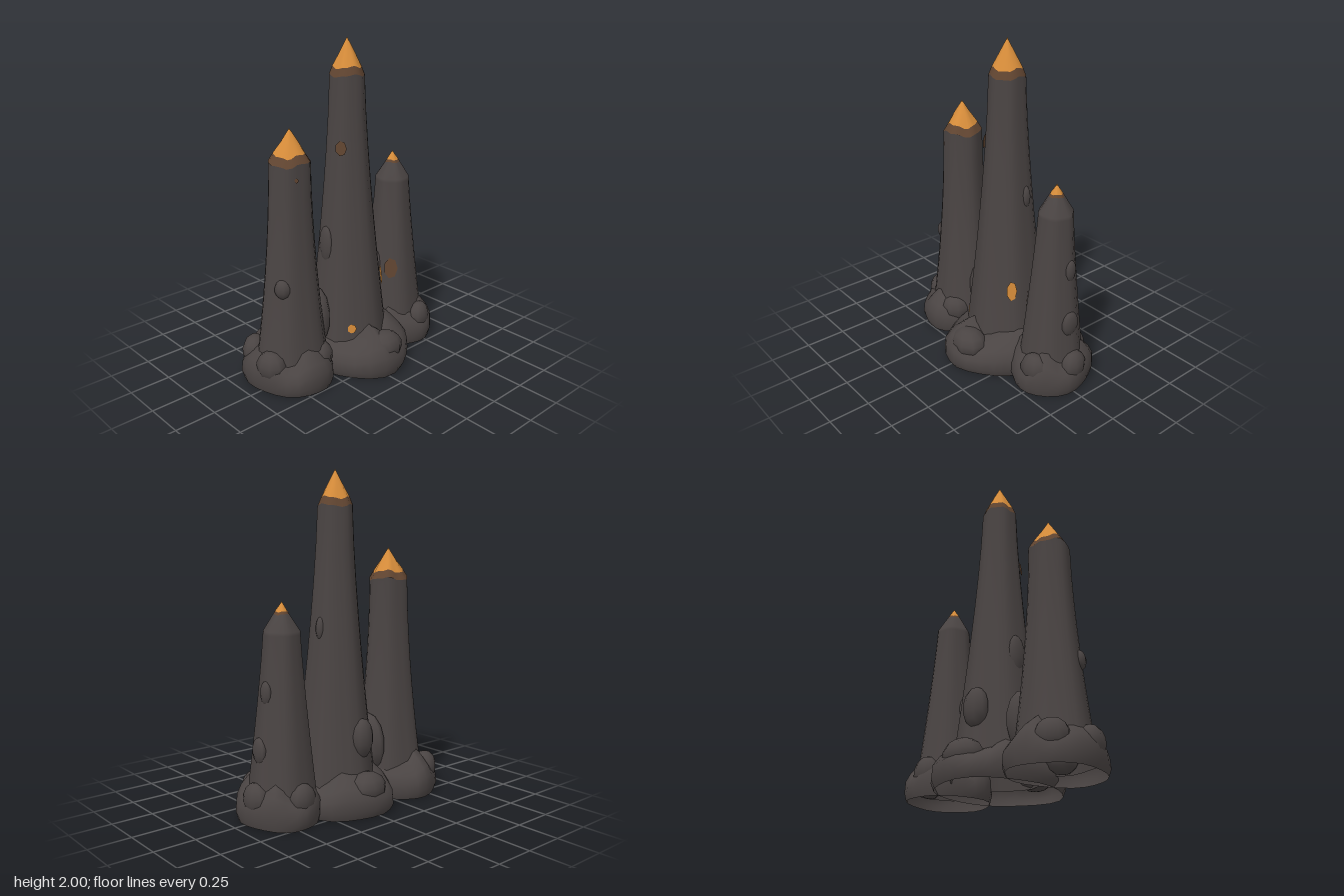
import * as THREE from 'three';

function flat(name, color) {
  const m = new THREE.MeshStandardMaterial({ color, side: THREE.DoubleSide });
  m.name = name;
  return m;
}
const stone = flat('dark stone', 0x4a4443);
const ember = flat('amber', 0xd68c3a);
const scorch = flat('scorched brown', 0x604430);

const SEG = 24, FOOT_Y = 0.06;
const { lerp } = THREE.MathUtils;

// Uneven outlines of the shafts and of the feet
const shaftShape = (a, seed) => 1 + 0.035 * Math.cos(6 * a + seed) + 0.025 * Math.sin(2 * a + seed * 2);
const footShape = (a, seed) => 1 + 0.025 * Math.sin(3 * a + seed) + 0.02 * Math.sin(5 * a + seed * 2);
const footLift = (a, seed) => 0.93 + 0.14 * Math.sin(4 * a + seed) + 0.07 * Math.sin(7 * a);

// Skin through rings { y, x, z, rx, rz, wave }
function loft(rings, seed, shape = shaftShape, lift = () => 1) {
  const pos = [], index = [];
  rings.forEach(({ y, x, z, rx, rz, wave = 0 }, r) => {
    for (let i = 0; i < SEG; i++) {
      const a = (i / SEG) * Math.PI * 2, k = shape(a, seed);
      const dy = wave * (Math.sin(3 * a + seed) + 0.5 * Math.sin(7 * a));
      pos.push(x + Math.cos(a) * rx * k, y * lift(a, seed) + dy, z + Math.sin(a) * rz * k);
      if (r === rings.length - 1) continue;
      const p = r * SEG + i, q = r * SEG + (i + 1) % SEG;
      index.push(p, p + SEG, q, q, p + SEG, q + SEG);
    }
  });
  const g = new THREE.BufferGeometry();
  g.setAttribute('position', new THREE.Float32BufferAttribute(pos, 3));
  g.setIndex(index);
  g.computeVertexNormals();
  return g;
}

function add(parent, name, geometry, material) {
  const m = new THREE.Mesh(geometry, material);
  m.name = name;
  parent.add(m);
  return m;
}

// Ring of a spire at height y: flared shaft below the shoulder, cone above it
function ringAt(s, y, wave = 0) {
  const t = Math.min(1, (y - FOOT_Y) / (s.shoulder - FOOT_Y));
  const r = y <= s.shoulder
    ? s.topR + (s.footR - s.topR) * (1 - t) ** s.flare
    : s.topR * (s.height - y) / (s.height - s.shoulder);
  const u = y / s.height;
  return { y, x: lerp(s.x, s.tipX, u), z: lerp(s.z, s.tipZ, u), rx: r, rz: r * 1.03, wave };
}

// Point on the shaft surface
function surfacePoint(s, y, angle, out) {
  const { x, z, rx, rz } = ringAt(s, y), k = shaftShape(angle, s.seed);
  return new THREE.Vector3(x + Math.cos(angle) * (rx * k + out), y, z + Math.sin(angle) * (rz * k + out));
}

// Thin painted spot lying on the side of a shaft
function spot(parent, s, y, angle, w, h, material) {
  const m = add(parent, 'glowSpot', new THREE.CircleGeometry(1, 7), material);
  m.position.copy(surfacePoint(s, y, angle, 0.007));
  m.lookAt(m.position.x + Math.cos(angle), y + 0.08, m.position.z + Math.sin(angle));
  m.scale.set(w, h, 1);
}

// Rounded lump of rock; depth is measured along the outward angle
function lump(parent, name, position, angle, depth, height, width) {
  const m = add(parent, name, new THREE.SphereGeometry(1, 9, 7), stone);
  m.position.copy(position);
  m.scale.set(depth, height, width);
  m.rotation.y = -angle;
}
const knob = (parent, s, y, angle, depth, height, width) =>
  lump(parent, 'shaftKnob', surfacePoint(s, y, angle, -0.01), angle, depth, height, width);

// Shaft, scorched band, glowing point and hollow lumpy foot
function buildSpire(s) {
  const g = new THREE.Group();
  g.name = s.name;
  const shaft = Array.from({ length: 9 }, (_, i) => ringAt(s, lerp(FOOT_Y, s.shoulder - 0.02, i / 8)));
  const band = ringAt(s, s.bandY, s.wave), edge = ringAt(s, s.edgeY, s.wave);
  if (s.bandY > s.shoulder) shaft.push(ringAt(s, s.shoulder));
  const tip = [0.5, 0.88, 1].map(t => ringAt(s, lerp(s.edgeY, s.height, t)));
  add(g, 'shaft', loft([...shaft, band], s.seed), stone);
  add(g, 'scorchedBand', loft([band, edge], s.seed), scorch);
  add(g, 'glowingTip', loft([edge, ...tip], s.seed), ember);

  const { x, z, rx, rz } = s.foot;
  const foot = [[0, 0.95], [0.05, 1], [0.12, 0.985], [0.17, 0.89], [0.215, 0.74], [0.245, 0.6], [0.25, 0.45]]
    .map(([y, k]) => ({ y, x, z, rx: rx * k, rz: rz * k }));
  add(g, 'lumpyFoot', loft(foot, s.seed, footShape, footLift), stone);
  for (const a of s.lumpAngles) {
    const p = new THREE.Vector3(x + Math.cos(a) * rx * 0.72, 0.15, z + Math.sin(a) * rz * 0.72);
    lump(g, 'footLump', p, a, rx * 0.25, 0.095, rz * 0.38);
  }
  return g;
}

const centre = {
  name: 'centreSpire', seed: 0.4, height: 2, shoulder: 1.8, bandY: 1.79, edgeY: 1.835, wave: 0.008,
  topR: 0.102, footR: 0.255, flare: 1.4, x: -0.02, z: -0.04, tipX: -0.02, tipZ: -0.033,
  foot: { x: 0, z: -0.05, rx: 0.41, rz: 0.335 }, lumpAngles: [0, 3]
};
const front = {
  name: 'frontSpire', seed: 2.1, height: 1.54, shoulder: 1.35, bandY: 1.35, edgeY: 1.395, wave: 0.01,
  topR: 0.118, footR: 0.22, flare: 1.7, x: -0.03, z: 0.41, tipX: -0.023, tipZ: 0.398,
  foot: { x: -0.045, z: 0.435, rx: 0.305, rz: 0.255 }, lumpAngles: [1.25, 2.4, -0.7]
};
const back = {
  name: 'backSpire', seed: 4.2, height: 1.256, shoulder: 1.09, bandY: 1.185, edgeY: 1.2, wave: 0.003,
  topR: 0.1, footR: 0.2, flare: 1.2, x: -0.03, z: -0.445, tipX: -0.04, tipZ: -0.442,
  foot: { x: -0.02, z: -0.46, rx: 0.265, rz: 0.235 }, lumpAngles: [-0.3, -1.65, 3]
};

export function createModel() {
  const model = new THREE.Group();
  model.name = 'rockSpires';
  model.add(...[centre, front, back].map(buildSpire));

  // Mound joining the two taller spires
  lump(model, 'saddleMound', new THREE.Vector3(-0.05, 0.33, 0.21), Math.PI / 2, 0.07, 0.19, 0.13);

  // Knobs on the shafts
  knob(model, centre, 0.43, 2.95, 0.06, 0.12, 0.08);
  knob(model, centre, 0.77, 1.65, 0.03, 0.12, 0.06);
  knob(model, centre, 1.08, -1.8, 0.03, 0.07, 0.03);
  knob(model, front, 0.63, 1, 0.04, 0.06, 0.05);
  knob(model, back, 0.75, -1.7, 0.025, 0.07, 0.04);
  knob(model, back, 0.42, -1.55, 0.03, 0.08, 0.06);
  knob(model, back, 0.52, 1.6, 0.03, 0.1, 0.05);

  // Glowing and scorched spots on the shafts
  spot(model, centre, 0.27, 0.62, 0.028, 0.03, ember);
  spot(model, centre, 0.51, -1, 0.032, 0.065, ember);
  spot(model, centre, 1.38, 1, 0.035, 0.045, scorch);
  spot(model, back, 0.51, 0.8, 0.045, 0.07, scorch);
  spot(model, front, 1.27, 0.35, 0.012, 0.014, scorch);
  return model;
}
